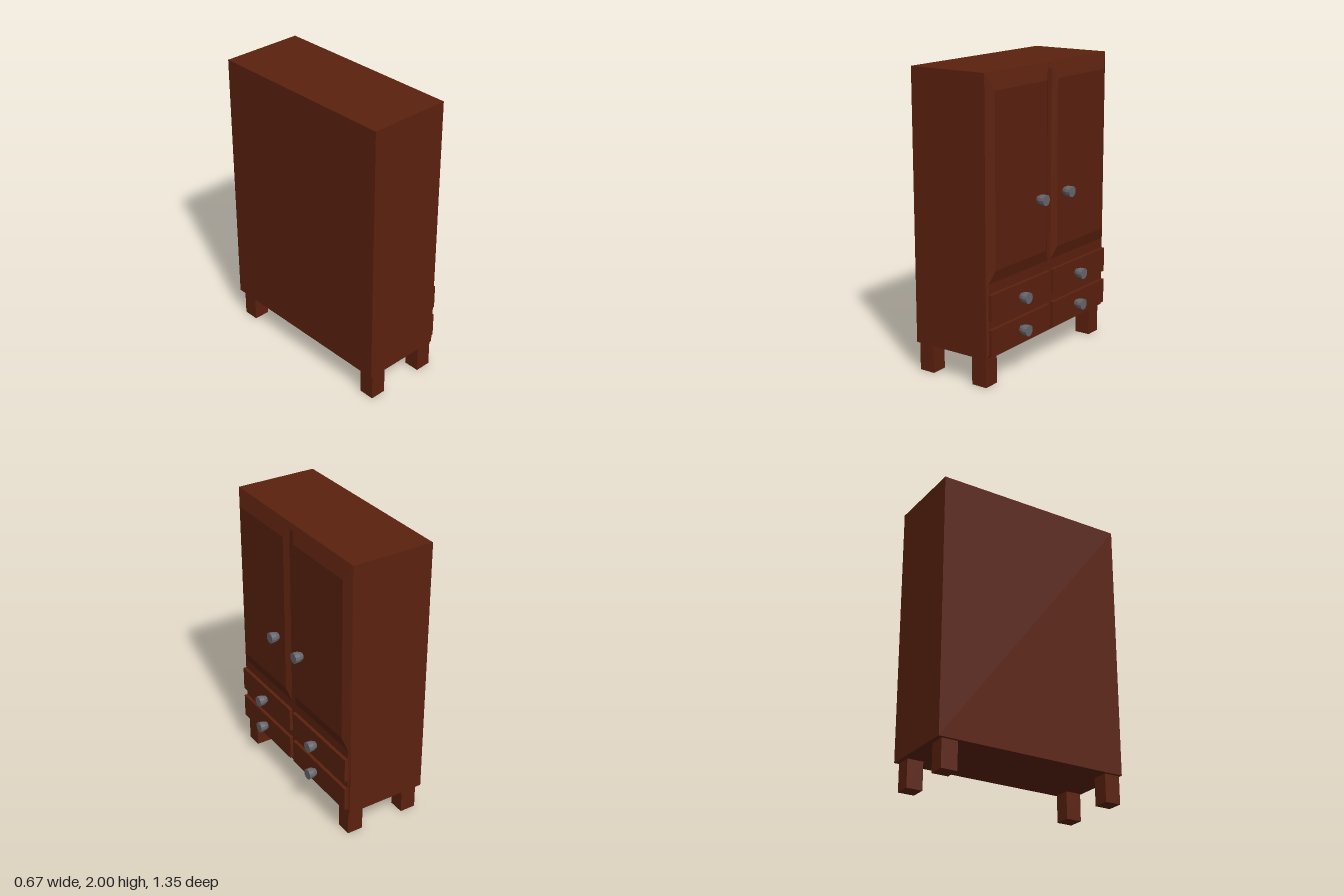
import * as THREE from 'three';

export function createModel() {
  const group = new THREE.Group();
  const wood = new THREE.MeshStandardMaterial({ color: 0x5b210e });
  wood.name = 'dark red wood';
  const metal = new THREE.MeshStandardMaterial({ color: 0x66666c });
  metal.name = 'grey metal';
  metal.flatShading = true;

  const add = (name, geometry, material = wood) => {
    const mesh = new THREE.Mesh(geometry, material);
    mesh.name = name;
    group.add(mesh);
    return mesh;
  };

  // Box given by its lower and upper limits on each axis
  const box = (name, x0, x1, y0, y1, z0, z1) => {
    const g = new THREE.BoxGeometry(x1 - x0, y1 - y0, z1 - z0);
    g.translate((x0 + x1) / 2, (y0 + y1) / 2, (z0 + z1) / 2);
    return add(name, g);
  };

  // Panel whose +x face is drawn in by a margin on each side: [bottom, top, low z, high z]
  const bevelPanel = (name, x0, x1, y0, y1, z0, z1, [mb, mt, ml, mh]) => {
    let g = new THREE.BoxGeometry(x1 - x0, y1 - y0, z1 - z0);
    g.translate((x0 + x1) / 2, (y0 + y1) / 2, (z0 + z1) / 2);
    g = g.toNonIndexed();
    const p = g.attributes.position;
    const midX = (x0 + x1) / 2, midY = (y0 + y1) / 2, midZ = (z0 + z1) / 2;
    for (let i = 0; i < p.count; i++) {
      if (p.getX(i) < midX) continue;
      p.setY(i, p.getY(i) < midY ? y0 + mb : y1 - mt);
      p.setZ(i, p.getZ(i) < midZ ? z0 + ml : z1 - mh);
    }
    g.computeVertexNormals();
    return add(name, g);
  };

  // Cabinet body and slightly raised face frame
  box('cabinetBody', -0.335, 0.235, 0.19, 2, -0.675, 0.675);
  bevelPanel('faceFrame', 0.23, 0.244, 0.19, 2, -0.675, 0.675, [0.03, 0.04, 0.02, 0.02]);

  // Raised bevelled doors
  bevelPanel('leftDoor', 0.235, 0.267, 0.655, 2, -0.675, -0.005, [0.115, 0.11, 0.06, 0.055]);
  bevelPanel('rightDoor', 0.235, 0.267, 0.655, 2, 0.005, 0.675, [0.115, 0.11, 0.06, 0.06]);

  // Two rows of two drawers
  for (const [y0, y1] of [[0.22, 0.39], [0.45, 0.62]]) {
    box('drawerFront', 0.235, 0.267, y0, y1, 0.02, 0.657);
    box('drawerFront', 0.235, 0.267, y0, y1, -0.657, -0.02);
  }

  // Four square legs
  for (const x of [-0.315, 0.115]) {
    for (const z of [0.555, -0.645]) box('leg', x, x + 0.112, 0, 0.2, z, z + 0.112);
  }

  // Flared knobs on doors and drawers
  const profile = [[0, 0], [0.025, 0], [0.027, 0.008], [0.033, 0.02], [0.036, 0.03], [0.0375, 0.064], [0, 0.064]];
  const knob = new THREE.LatheGeometry(profile.map(([r, h]) => new THREE.Vector2(r, h)), 12);
  knob.rotateZ(-Math.PI / 2);
  for (const [name, y, z] of [
    ['doorKnob', 1.135, 0.155], ['doorKnob', 1.135, -0.145],
    ['drawerKnob', 0.53, 0.342], ['drawerKnob', 0.53, -0.302],
    ['drawerKnob', 0.31, 0.342], ['drawerKnob', 0.31, -0.302],
  ]) add(name, knob, metal).position.set(0.266, y, z);

  return group;
}
